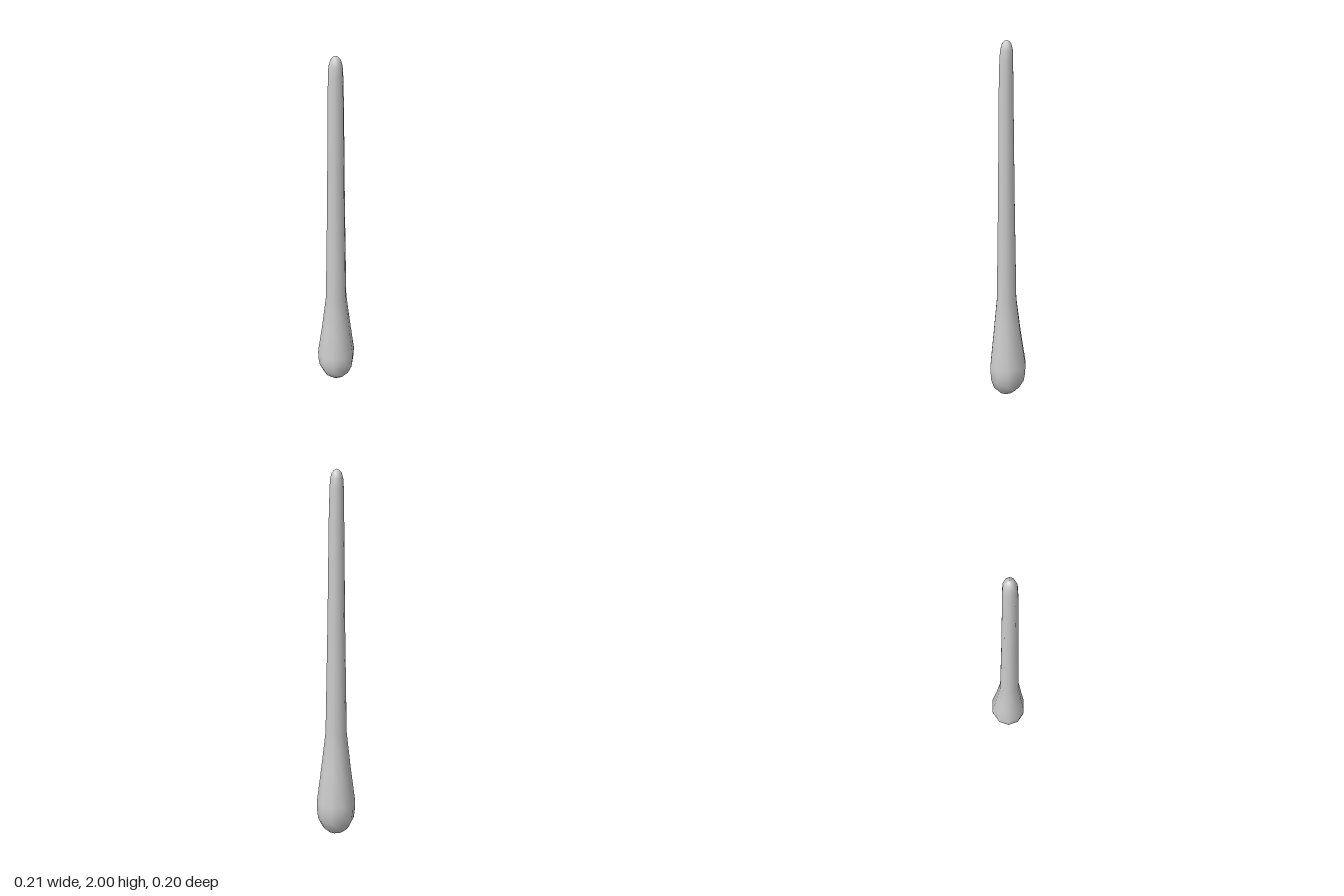
import * as THREE from 'three';

// Cross-sections from bottom to top: height, radius, centre x, centre z
const SECTIONS = [
  [0.004, 0, 0, 0.012],
  [0.02, 0.045, 0, 0.01],
  [0.05, 0.077, 0, 0.007],
  [0.1, 0.1, 0, 0.001],
  [0.15, 0.106, 0, -0.001],
  [0.2, 0.107, 0, -0.002],
  [0.4, 0.081, 0, 0.003],
  [0.6, 0.058, -0.001, 0.006],
  [1.2, 0.047, -0.002, 0.007],
  [1.75, 0.04, -0.003, 0.008],
  [1.9, 0.037, -0.004, 0.007],
  [1.95, 0.034, -0.004, 0.006],
  [1.98, 0.026, -0.004, 0.005],
  [1.994, 0.014, -0.004, 0.005],
  [2, 0, -0.004, 0.005],
];

export function createModel() {
  const group = new THREE.Group();
  group.name = 'club';

  // Ten-sided turned body with a rounded tip and a heavy rounded end
  const profile = SECTIONS.map(([y, r]) => new THREE.Vector2(r, y));
  const geometry = new THREE.LatheGeometry(profile, 10, Math.PI / 2);

  // Let the axis lean slightly and flatten the body a little in depth
  const pos = geometry.attributes.position;
  for (let i = 0; i < pos.count; i++) {
    const [, , cx, cz] = SECTIONS[i % SECTIONS.length];
    pos.setX(i, pos.getX(i) + cx);
    pos.setZ(i, pos.getZ(i) * 0.97 + cz);
  }

  const body = new THREE.Mesh(geometry, new THREE.MeshStandardMaterial({ color: 0xcccccc }));
  body.name = 'clubBody';
  group.add(body);
  return group;
}
